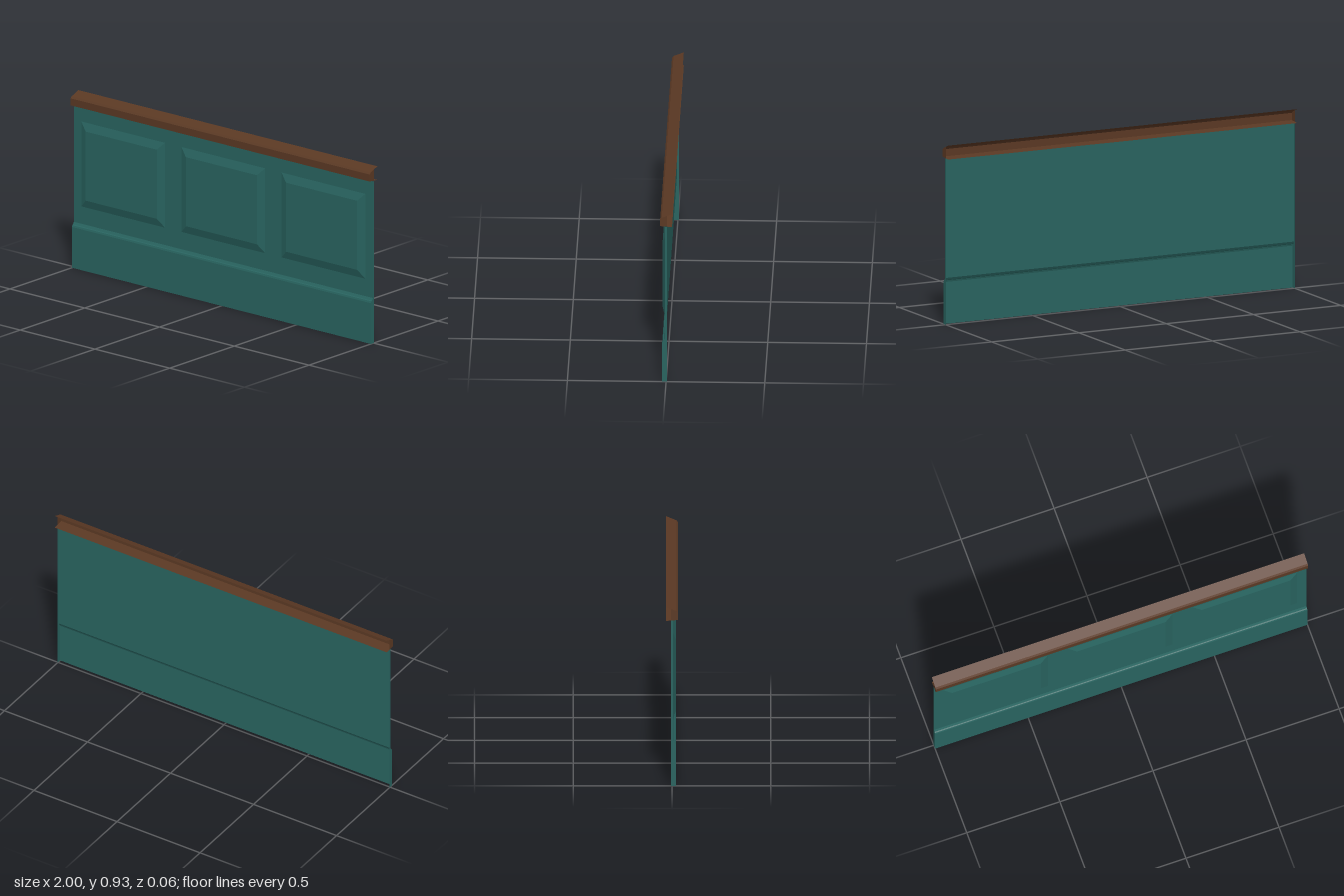
import * as THREE from 'three';

const HALF = 1;      // half length of the wall section
const BACK = -0.005; // rear edge of the end faces

// Open sheet: a [z, y] profile, listed bottom to top, swept along x
function sweep(profile) {
  const geo = new THREE.PlaneGeometry(2 * HALF, 1, 1, profile.length - 1);
  const pos = geo.attributes.position;
  for (let i = 0; i < pos.count; i++) {
    const [z, y] = profile[profile.length - 1 - Math.floor(i / 2)];
    pos.setXYZ(i, pos.getX(i), y, z);
  }
  const flat = geo.toNonIndexed();
  flat.computeVertexNormals();
  return flat;
}

// Flat end face filling a [z, y] outline
function endFace(outline) {
  const shape = new THREE.Shape(outline.map(([z, y]) => new THREE.Vector2(z, y)));
  return new THREE.ShapeGeometry(shape).rotateY(-Math.PI / 2);
}

// Raised field with four sloping edges
function raisedPanel(w, h, inset, z0, z1) {
  const geo = new THREE.BoxGeometry(w, h, z1 - z0).toNonIndexed();
  const pos = geo.attributes.position;
  for (let i = 0; i < pos.count; i++) {
    if (pos.getZ(i) < 0) continue;
    pos.setX(i, pos.getX(i) - Math.sign(pos.getX(i)) * inset);
    pos.setY(i, pos.getY(i) - Math.sign(pos.getY(i)) * inset);
  }
  geo.computeVertexNormals();
  return geo.translate(0, 0, (z0 + z1) / 2);
}

export function createModel() {
  const teal = new THREE.MeshStandardMaterial({ color: 0x28635f, side: THREE.DoubleSide });
  teal.name = 'tealPaint';
  const brown = new THREE.MeshStandardMaterial({ color: 0x5a3823, side: THREE.DoubleSide });
  brown.name = 'brownWood';

  const model = new THREE.Group();
  model.name = 'wainscotWall';
  const add = (name, geo, mat, x = 0, y = 0) => {
    const mesh = new THREE.Mesh(geo, mat);
    mesh.name = name;
    mesh.position.set(x, y, 0);
    model.add(mesh);
  };

  // Baseboard with moulded top edge, and the wall above it
  const base = [[0.02, 0], [0.02, 0.216], [0.017, 0.225], [0.012, 0.228], [0.005, 0.24]];
  const wall = [[0.005, 0.24], [0.005, 0.858]];
  add('baseboard', sweep(base), teal);
  add('wallSheet', sweep(wall), teal);

  // Chair rail, hollow at the rear
  const rail = [[-0.03, 0.858], [0.03, 0.863], [0.03, 0.9], [0.022, 0.909], [-0.03, 0.93]];
  add('chairRail', sweep(rail), brown);

  // End faces on both sides
  const wallEnd = [[BACK, 0], ...base, wall[1], [BACK, 0.858]];
  const railEnd = [[BACK, 0.86], ...rail.slice(1, 4), [BACK, 0.92]];
  for (const [side, x] of [['left', HALF], ['right', -HALF]]) {
    add(side + 'WallEnd', endFace(wallEnd), teal, x);
    add(side + 'RailEnd', endFace(railEnd), brown, x);
  }

  // Three raised panels
  for (const x of [-0.67, 0, 0.67]) {
    add('raisedPanel', raisedPanel(0.56, 0.45, 0.042, 0.0055, 0.02), teal, x, 0.557);
  }
  return model;
}
